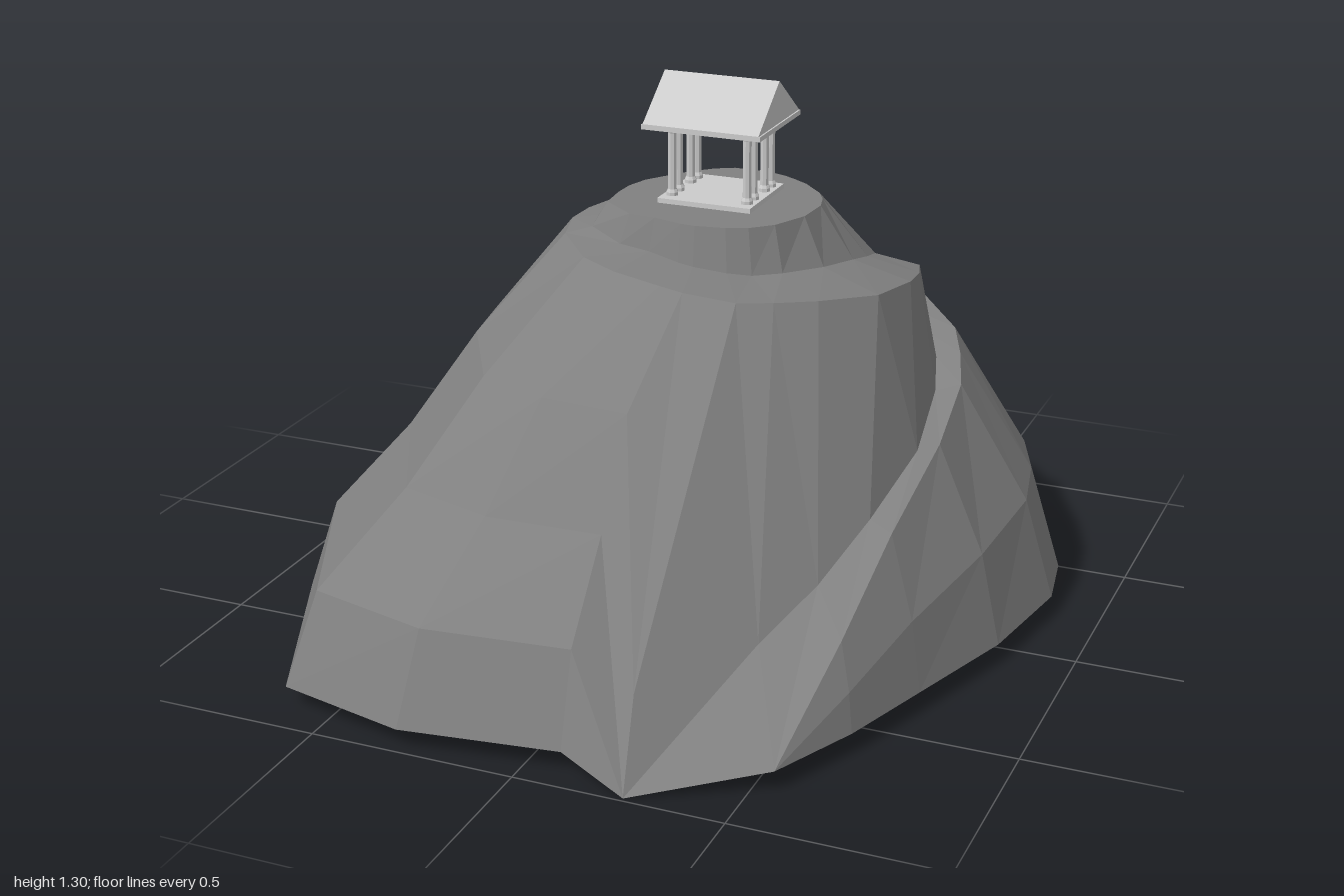
import * as THREE from 'three';

const CX = 0, CZ = -0.15;
const mix = (a, b, t) => a + (b - a) * t;
const angleOf = (x, z) => (Math.atan2(x - CX, z - CZ) + 2 * Math.PI) % (2 * Math.PI);
const rad = Math.PI / 180;

// closed contour around the hill axis from [x, z, y] points, sampled by angle
function contour(points) {
  const p = points.map(([x, z, y]) => ({ a: angleOf(x, z), r: Math.hypot(x - CX, z - CZ), y }))
    .sort((m, n) => m.a - n.a);
  return (a) => {
    let j = p.findIndex((q) => q.a >= a - 1e-9);
    if (j < 0) j = 0;
    const e = p[j], s = p[(j + p.length - 1) % p.length];
    const turn = 2 * Math.PI;
    const span = (e.a - s.a + turn) % turn;
    const t = ((a - s.a + turn) % turn) / span;
    const r = mix(s.r, e.r, t);
    return [CX + r * Math.sin(a), mix(s.y, e.y, t), CZ + r * Math.cos(a)];
  };
}

// foot of the hill, counterclockwise seen from above, [x, z]
const FOOT = [[0.09, 0.94], [0.26, 0.99], [0.55, 0.84], [0.65, 0.62], [0.73, 0.38], [0.83, 0.08],
  [0.88, -0.22], [0.85, -0.4], [0.79, -0.55], [0.63, -0.78], [0.5, -0.88], [0.39, -0.96],
  [0.2, -0.96], [-0.12, -1], [-0.29, -0.94], [-0.49, -0.79], [-0.67, -0.61], [-0.81, -0.39],
  [-0.845, -0.15], [-0.88, 0.09], [-0.84, 0.42], [-0.62, 0.91], [-0.29, 0.99]];
const CAVE = 8; // the cave opens between this foot point and the next

// lower path climbing the right flank
const pathOuter = contour([[0.26, 0.99, 0], [0.55, 0.84, 0.05], [0.6, 0.48, 0.3], [0.63, 0.27, 0.42],
  [0.65, 0, 0.53], [0.6, -0.3, 0.61], [0.5, -0.5, 0.66], [0.36, -0.6, 0.68], [0.28, -0.62, 0.69]]);
const pathInner = contour([[0.24, 0.86, 0.18], [0.42, 0.62, 0.22], [0.52, 0.38, 0.34], [0.57, 0.2, 0.43],
  [0.58, -0.1, 0.52], [0.54, -0.3, 0.6], [0.44, -0.45, 0.65], [0.3, -0.53, 0.67]]);
// upper ledge winding round the summit
const ledgeOuter = contour([[0.43, -0.45, 0.8], [0.5, -0.2, 0.83], [0.47, 0, 0.85], [0.35, 0.15, 0.87],
  [0.22, 0.25, 0.88], [0, 0.24, 0.9], [-0.22, 0.16, 0.92], [-0.32, 0, 0.93], [-0.33, -0.15, 0.93],
  [-0.25, -0.33, 0.93], [-0.08, -0.48, 0.93], [0.1, -0.5, 0.9], [0.28, -0.48, 0.75]]);
const ledgeInner = contour([[0.33, -0.44, 0.82], [0.36, -0.2, 0.87], [0.3, -0.02, 0.89], [0.2, 0.08, 0.89],
  [-0.05, 0.09, 0.92], [-0.22, 0.06, 0.94], [-0.27, -0.1, 0.94], [-0.2, -0.3, 0.94],
  [-0.02, -0.44, 0.94], [0.15, -0.42, 0.92], [0.25, -0.44, 0.74]]);
const summit = contour([[-0.02, -0.4, 1], [0.15, -0.35, 1], [0.27, -0.2, 1], [0.2, 0.05, 1],
  [-0.05, 0.07, 1], [-0.2, 0.03, 1], [-0.22, -0.1, 1], [-0.15, -0.28, 1]]);

// one profile of the hill, from the foot to the summit rim
function hillProfile([x, z], i) {
  const a = angleOf(x, z);
  const foot = [x, i === 1 ? 0 : 0.05, z];
  const top = ledgeOuter(a);
  const between = (end, t, h) => [mix(x, end[0], t), mix(foot[1], end[1], h), mix(z, end[2], t)];
  const onPath = a > 12.5 * rad && a < 150 * rad;
  const flank = onPath
    ? [between(pathOuter(a), 0.3, 0.47), pathOuter(a), pathInner(a)]
    : [between(top, 0.11, 0.25), between(top, 0.4, 0.47), between(top, 0.66, 0.73)];
  return [foot, ...flank, top, ledgeInner(a), summit(a)];
}

function meshFrom(name, triangles, material) {
  const geo = new THREE.BufferGeometry();
  geo.setAttribute('position', new THREE.Float32BufferAttribute(triangles.flat(), 3));
  geo.computeVertexNormals();
  const mesh = new THREE.Mesh(geo, material);
  mesh.name = name;
  return mesh;
}

function buildHill(material) {
  const hill = new THREE.Group();
  hill.name = 'hill';
  const cols = FOOT.map(hillProfile);
  const n = cols.length;
  const slopes = [];
  const quad = (out, a, b, c, d) => out.push(a, b, c, a, c, d);
  for (let i = 0; i < n; i++) {
    const A = cols[i], B = cols[(i + 1) % n];
    for (let k = 0; k < A.length - 1; k++) {
      if (i === CAVE && k === 0) continue;
      quad(slopes, A[k], B[k], B[k + 1], A[k + 1]);
    }
    slopes.push(A[6], B[6], [0.02, 1, -0.15]);
  }

  // wall panel with an arched opening, mapped onto the missing quad
  const A = cols[CAVE], B = cols[CAVE + 1];
  const arch = [new THREE.Vector2(0.1, 0)];
  for (let s = 0; s <= 10; s++) {
    const t = Math.PI * (1 - s / 10);
    arch.push(new THREE.Vector2(0.5 + 0.4 * Math.cos(t), 0.5 + 0.36 * Math.sin(t)));
  }
  arch.push(new THREE.Vector2(0.9, 0));
  const onPanel = (p) => [0, 1, 2].map((c) =>
    mix(mix(A[0][c], B[0][c], p.x), mix(A[1][c], B[1][c], p.x), p.y));
  const frame = [new THREE.Vector2(0, 0), ...arch,
    new THREE.Vector2(1, 0), new THREE.Vector2(1, 1), new THREE.Vector2(0, 1)];
  for (const f of THREE.ShapeUtils.triangulateShape(frame, [])) {
    slopes.push(...f.map((k) => onPanel(frame[k])));
  }
  hill.add(meshFrom('slopes', slopes, material));

  // vaulted cave with an upright back wall
  const mouth = arch.map(onPanel);
  const back = arch.map((p) => {
    const q = onPanel(new THREE.Vector2(p.x, 0));
    return [q[0] - 0.2, onPanel(p)[1], q[2] + 0.14];
  });
  const cave = [];
  for (let k = 0; k < arch.length - 1; k++) quad(cave, mouth[k], mouth[k + 1], back[k + 1], back[k]);
  for (const f of THREE.ShapeUtils.triangulateShape(arch.slice().reverse(), [])) {
    cave.push(...f.map((k) => back[arch.length - 1 - k]));
  }
  hill.add(meshFrom('cave', cave, material));

  // underside, notched where the cave floor is open
  const last = arch.length - 1;
  const rim = cols.map((c) => c[0]);
  rim.splice(CAVE + 1, 0, mouth[0], back[0], back[last], mouth[last]);
  rim.reverse();
  const flat = rim.map((p) => new THREE.Vector2(p[0], p[2]));
  const under = THREE.ShapeUtils.triangulateShape(flat, []).flatMap((f) => f.map((k) => rim[k]));
  hill.add(meshFrom('underside', under, material));
  return hill;
}

function buildPavilion(material) {
  const pavilion = new THREE.Group();
  pavilion.name = 'pavilion';
  pavilion.position.set(0.022, 1, -0.158);
  const add = (name, geo, x, y, z) => {
    const mesh = new THREE.Mesh(geo, material);
    mesh.name = name;
    mesh.position.set(x, y, z);
    pavilion.add(mesh);
  };
  add('floor', new THREE.BoxGeometry(0.24, 0.014, 0.23), 0, 0.005, 0);

  // columns with flared ends, four on each side
  const shaft = [[0, 0], [0.015, 0], [0.015, 0.01], [0.011, 0.018], [0.011, 0.158],
    [0.015, 0.168], [0.015, 0.18], [0, 0.18]].map((p) => new THREE.Vector2(...p));
  for (const x of [-0.097, 0.097]) {
    for (const z of [-0.082, -0.04, 0.034, 0.076]) {
      add('column', new THREE.LatheGeometry(shaft, 8), x, 0.01, z);
    }
  }

  // gabled roof with its ridge along x
  const gable = new THREE.Shape([[-0.137, 0], [0.137, 0], [0.137, 0.008], [0, 0.11], [-0.137, 0.008]]
    .map((p) => new THREE.Vector2(...p)));
  const roof = new THREE.ExtrudeGeometry(gable, { depth: 0.296, bevelEnabled: false });
  roof.translate(0, 0, -0.148).rotateY(Math.PI / 2);
  add('roof', roof, 0, 0.19, 0);
  add('eaves', new THREE.BoxGeometry(0.304, 0.012, 0.274), 0, 0.191, 0);
  return pavilion;
}

export function createModel() {
  const model = new THREE.Group();
  model.name = 'hillWithPavilion';
  const rock = new THREE.MeshStandardMaterial({ color: 0x808080, flatShading: true, side: THREE.DoubleSide });
  const stone = new THREE.MeshStandardMaterial({ color: 0xcccccc, flatShading: true });
  model.add(buildHill(rock), buildPavilion(stone));
  return model;
}
